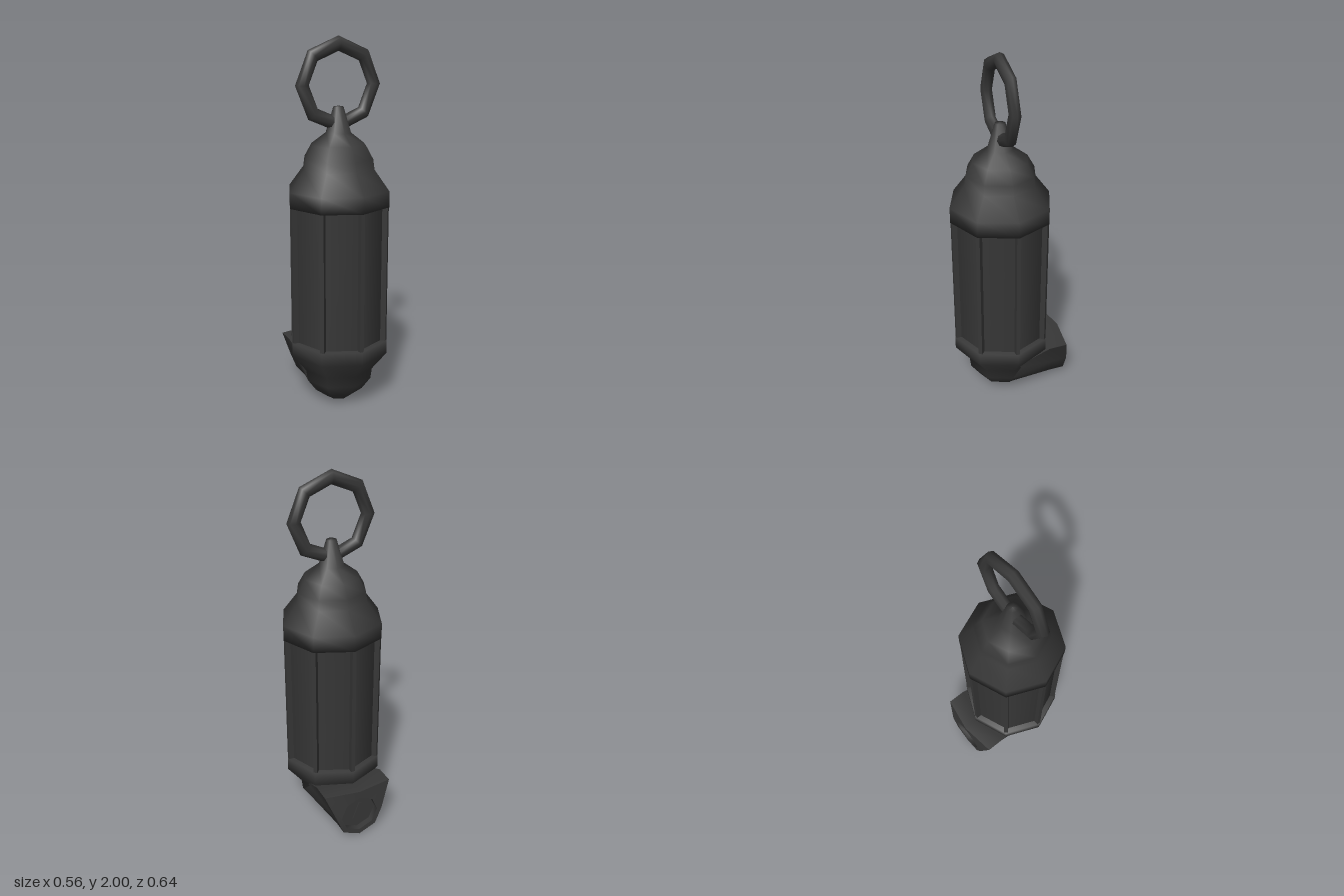
import * as THREE from 'three';
import { toCreasedNormals } from 'three/addons/utils/BufferGeometryUtils.js';

export function createModel() {
  const model = new THREE.Group();
  const iron = new THREE.MeshStandardMaterial({ color: 0x373737 });
  iron.name = 'darkIron';
  const axisZ = 0.042; // lantern axis sits forward of the wall mount

  const add = (name, geometry, x = 0, y = 0, z = axisZ, parent = model) => {
    const mesh = new THREE.Mesh(geometry, iron);
    mesh.name = name;
    mesh.position.set(x, y, z);
    parent.add(mesh);
    return mesh;
  };
  const lathe = (points) => new THREE.LatheGeometry(points.map(([r, y]) => new THREE.Vector2(r, y)), 8);

  // Rounded base and domed roof, eight-sided and smoothly shaded
  add('base', lathe([[0, 0.005], [0.07, 0.015], [0.14, 0.07], [0.19, 0.14], [0.198, 0.2],
    [0.28, 0.305], [0.28, 0.38], [0, 0.38]]));
  add('roof', lathe([[0, 1.13], [0.28, 1.13], [0.28, 1.215], [0.198, 1.325],
    [0.19, 1.38], [0.15, 1.45], [0.07, 1.51], [0.028, 1.645], [0, 1.65]]));

  // Recessed panels between slim corner posts
  add('panels', new THREE.CylinderGeometry(0.25, 0.25, 0.77, 8, 1, true), 0, 0.755);
  const posts = new THREE.Group();
  posts.name = 'cornerPosts';
  model.add(posts);
  for (let i = 0; i < 8; i++) {
    const a = (i * Math.PI) / 4;
    const post = add('cornerPost', new THREE.BoxGeometry(0.022, 0.77, 0.04),
      Math.sin(a) * 0.255, 0.755, axisZ + Math.cos(a) * 0.255, posts);
    post.rotation.y = a;
  }

  // Hanging ring, turned so a corner points up, slightly flattened front to back
  const ring = add('hangingRing', new THREE.TorusGeometry(0.206, 0.038, 8, 8), 0, 1.757);
  ring.rotation.z = Math.PI / 2;
  ring.scale.z = 0.82;

  // Wall mount: eight-point sections from inside the base to a flared back with an octagonal recess
  const mirror = (half) => [...half, ...half.slice(1, 4).reverse().map(([x, y, z]) => [-x, y, z])];
  const octagon = (r, z) => Array.from({ length: 8 }, (_, j) => {
    const a = (j * Math.PI) / 4;
    return [Math.sin(a) * r, 0.147 - Math.cos(a) * r, z];
  });
  const sections = [
    mirror([[0, 0.007, 0.04], [0.12, 0.055, 0.04], [0.188, 0.14, 0.04], [0.18, 0.2, 0.04], [0, 0.2, 0.04]]),
    mirror([[0, 0.007, -0.235], [0.1, 0.05, -0.235], [0.143, 0.15, -0.235], [0.2, 0.3, -0.185], [0, 0.3, -0.235]]),
    mirror([[0, 0.007, -0.322], [0.1, 0.05, -0.322], [0.14, 0.15, -0.322], [0.2, 0.3, -0.29], [0, 0.3, -0.32]]),
    octagon(0.11, -0.32),
    octagon(0.11, -0.285),
  ];
  const index = [];
  for (let i = 0; i < sections.length - 1; i++) {
    for (let j = 0; j < 8; j++) {
      const k = (j + 1) % 8;
      const a = i * 8 + j, b = i * 8 + k;
      index.push(a, a + 8, b, b, a + 8, b + 8);
    }
  }
  const last = (sections.length - 1) * 8;
  for (let j = 1; j < 7; j++) index.push(last, last + j + 1, last + j);
  const mount = new THREE.BufferGeometry();
  mount.setAttribute('position', new THREE.Float32BufferAttribute(sections.flat(2), 3));
  mount.setIndex(index);
  add('wallMount', toCreasedNormals(mount, 0.85), 0, 0, 0);

  // Narrow tilted bar in the recess
  const bar = add('recessBar', new THREE.BoxGeometry(0.016, 0.11, 0.008), 0, 0.147, -0.287);
  bar.rotation.z = 0.35;

  return model;
}
